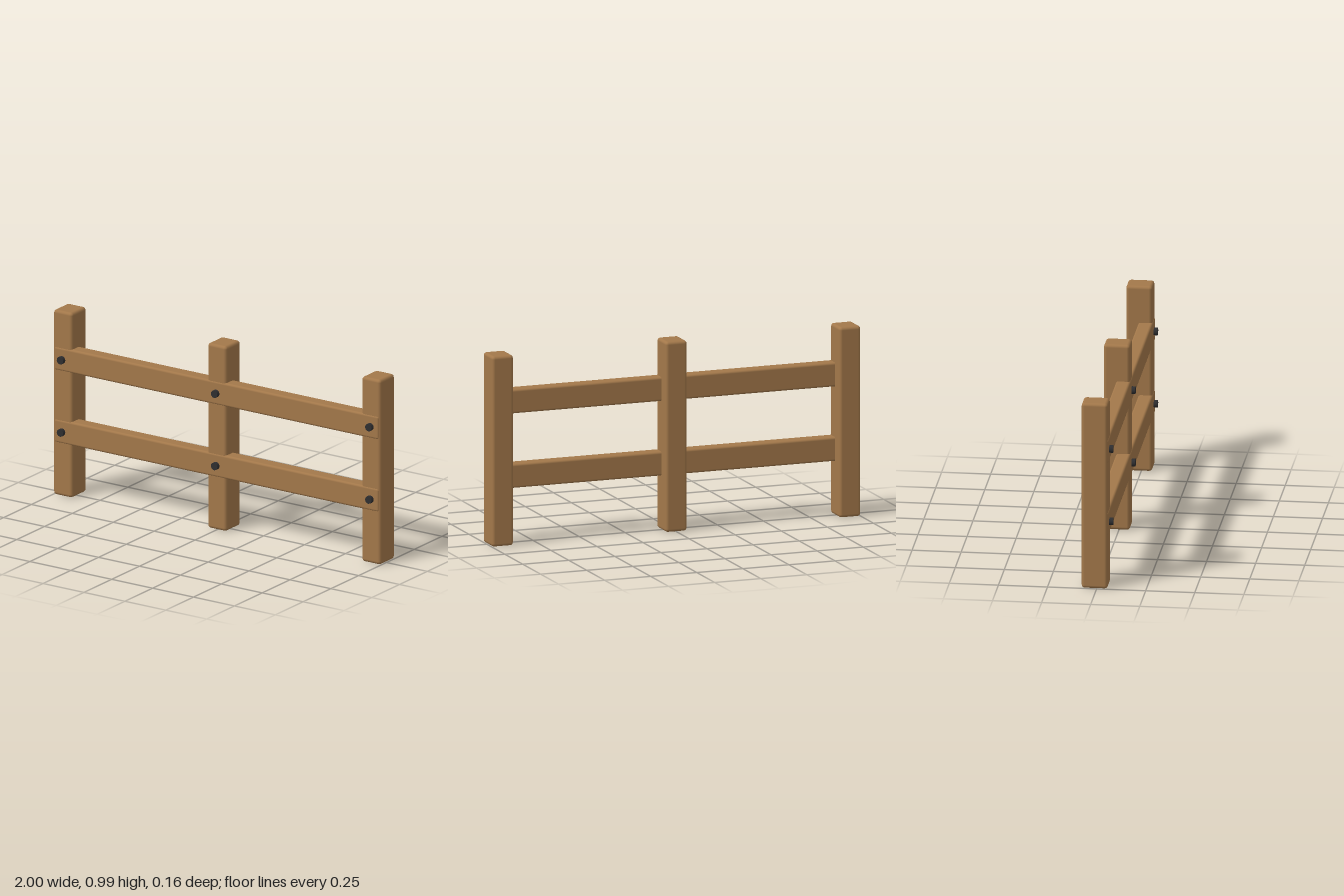
import * as THREE from 'three';
import { RoundedBoxGeometry } from 'three/addons/geometries/RoundedBoxGeometry.js';

export function createModel() {
  const fence = new THREE.Group();
  fence.name = 'fence';

  const wood = new THREE.MeshStandardMaterial({ color: 0xa3784a });
  wood.name = 'wood';
  const iron = new THREE.MeshStandardMaterial({ color: 0x2e2e30 });
  iron.name = 'dark iron';

  const add = (name, geometry, material, x, y, z) => {
    const mesh = new THREE.Mesh(geometry, material);
    mesh.name = name;
    mesh.position.set(x, y, z);
    fence.add(mesh);
    return mesh;
  };

  const postX = { right: -0.942, middle: 0, left: 0.942 };
  const railY = { lower: 0.344, upper: 0.73 };

  // Upright posts with softened edges
  const postGeometry = new RoundedBoxGeometry(0.116, 0.986, 0.133, 2, 0.016);
  for (const [side, x] of Object.entries(postX)) {
    add(`${side}Post`, postGeometry, wood, x, 0.493, -0.011);
  }

  // Horizontal rails, let into the posts and standing slightly proud in front
  const railGeometry = new RoundedBoxGeometry(1.985, 0.125, 0.074, 2, 0.012);
  // Bolt heads facing +z
  const boltGeometry = new THREE.CylinderGeometry(0.02, 0.02, 0.04, 12);
  boltGeometry.rotateX(Math.PI / 2);

  for (const [level, y] of Object.entries(railY)) {
    add(`${level}Rail`, railGeometry, wood, 0, y, 0.022);
    for (const [side, x] of Object.entries(postX)) {
      add(`${level}${side}Bolt`, boltGeometry, iron, x, y, 0.058);
    }
  }

  return fence;
}
